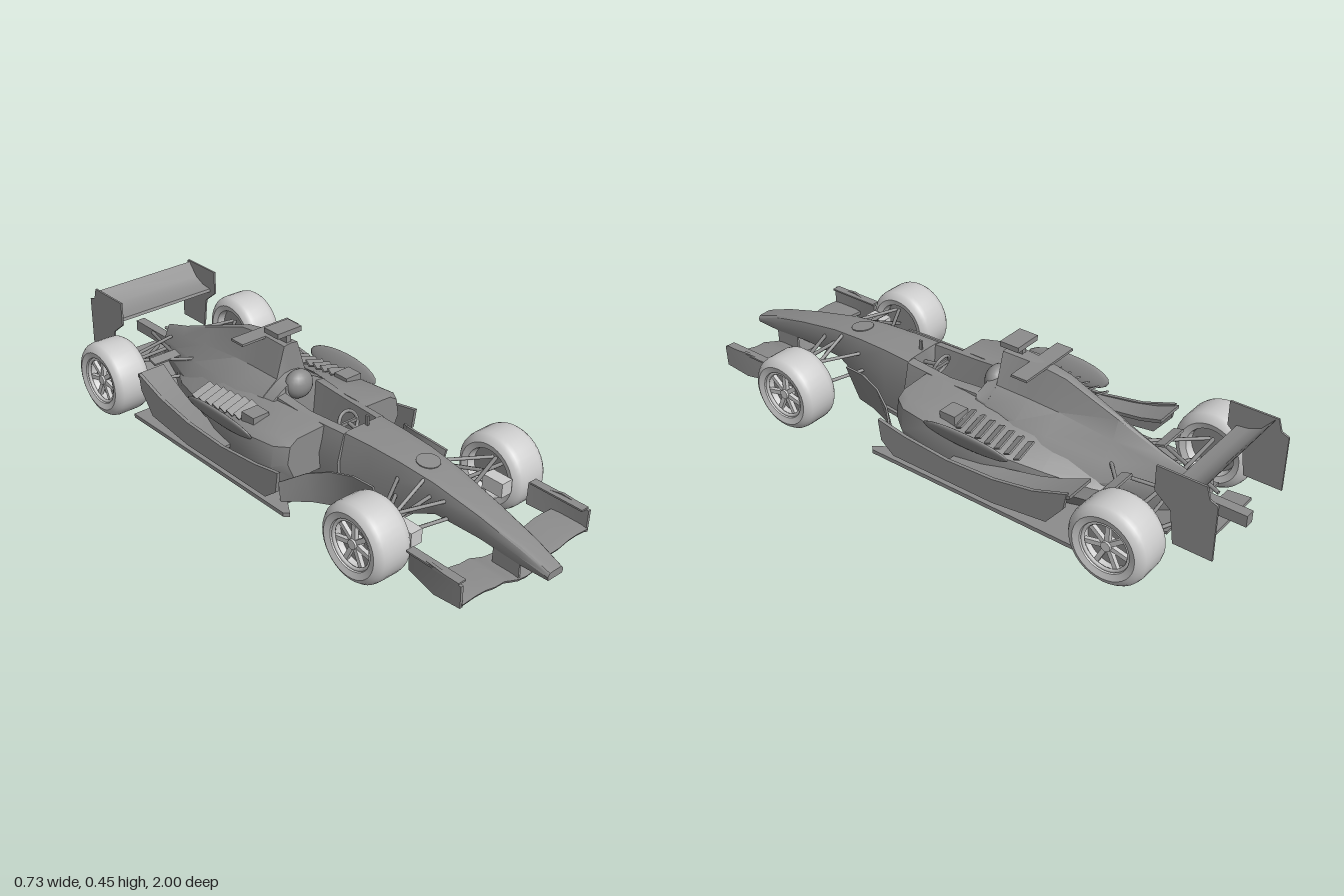
import * as THREE from 'three';
import { toCreasedNormals } from 'three/addons/utils/BufferGeometryUtils.js';

const mat = (name, color) => Object.assign(new THREE.MeshStandardMaterial({ color, side: THREE.DoubleSide }), { name });

export function createModel() {
  const bodyGrey = mat('body grey', 0x8c8c8c);
  const tyreGrey = mat('tyre light grey', 0xcccccc);
  const root = new THREE.Group();
  root.name = 'racingCar';
  const car = new THREE.Group();
  car.name = 'car';
  car.rotation.z = -0.014; // slight roll on the suspension
  root.add(car);

  const add = (name, geo, material = bodyGrey, parent = car) => {
    const m = new THREE.Mesh(geo, material);
    m.name = name;
    parent.add(m);
    return m;
  };
  const both = fn => [1, -1].forEach(s => fn(s, s > 0 ? 'left' : 'right'));

  // Skin closed rings of [x, y, z] points, capping both ends
  const loft = (rings, crease = 0.6) => {
    const n = rings[0].length, v = rings.flat(), tris = [];
    for (let i = 0; i < rings.length - 1; i++) for (let j = 0; j < n; j++) {
      const a = i * n + j, b = i * n + (j + 1) % n;
      tris.push([a, b, a + n], [b, b + n, a + n]);
    }
    const last = (rings.length - 1) * n;
    for (let j = 1; j < n - 1; j++) tris.push([0, j + 1, j], [last, last + j, last + j + 1]);
    const V = v.map(p => new THREE.Vector3(...p));
    const vol = tris.reduce((t, [a, b, c]) => t + V[a].dot(V[b].clone().cross(V[c])), 0);
    const g = new THREE.BufferGeometry();
    g.setAttribute('position', new THREE.Float32BufferAttribute(v.flat(), 3));
    g.setIndex((vol < 0 ? tris.map(t => [t[0], t[2], t[1]]) : tris).flat());
    g.computeVertexNormals();
    return toCreasedNormals(g, crease);
  };
  const box = (w, h, d, x, y, z, rx = 0, rz = 0) =>
    new THREE.BoxGeometry(w, h, d).rotateX(rx).rotateZ(rz).translate(x, y, z);
  const bar = (a, b, r) => new THREE.TubeGeometry(new THREE.LineCurve3(new THREE.Vector3(...a), new THREE.Vector3(...b)), 1, r, 6);
  // Upright plate with a (z, y) outline
  const panel = (pts, x, t) => new THREE.ExtrudeGeometry(new THREE.Shape(pts.map(p => new THREE.Vector2(...p))),
    { depth: t, bevelEnabled: false }).rotateY(-Math.PI / 2).translate(x + t / 2, 0, 0);

  // Nose, cockpit tub and engine cover: z, then half profile from top centre to bottom centre
  const nose = (z, top, w, mid, ym, bw, bot) =>
    [z, [[0, top], [w * 0.5, top], [w * 0.85, top - 0.001], [w, top - 0.006], [mid, ym], [bw, bot], [0, bot]]];
  const tub = (z, floor, iw, top, ow) =>
    [z, [[0, floor], [iw - 0.01, floor], [iw, top], [ow, top - 0.005], [0.11, 0.16], [0.1, 0.04], [0, 0.04]]];
  const cover = (z, top, w, w2, y2, w3, y3, w4, y4, bot) =>
    [z, [[0, top], [w, top - 0.004], [w2, y2], [w3, y3], [w4, y4], [w4 * 0.85, bot], [0, bot]]];
  const hull = [
    nose(1, 0.143, 0.03, 0.033, 0.13, 0.03, 0.118),
    nose(0.9, 0.178, 0.037, 0.041, 0.15, 0.034, 0.118),
    nose(0.75, 0.216, 0.046, 0.053, 0.18, 0.038, 0.13),
    nose(0.58, 0.25, 0.058, 0.068, 0.2, 0.045, 0.13),
    nose(0.45, 0.263, 0.068, 0.08, 0.19, 0.06, 0.07),
    nose(0.33, 0.266, 0.074, 0.088, 0.17, 0.08, 0.042),
    nose(0.221, 0.264, 0.08, 0.1, 0.16, 0.09, 0.04),
    tub(0.22, 0.16, 0.055, 0.262, 0.085),
    tub(0.05, 0.12, 0.068, 0.258, 0.095),
    tub(-0.08, 0.14, 0.066, 0.268, 0.1),
    cover(-0.085, 0.3, 0.03, 0.06, 0.285, 0.11, 0.255, 0.13, 0.2, 0.04),
    cover(-0.129, 0.31, 0.03, 0.062, 0.29, 0.115, 0.253, 0.14, 0.2, 0.04),
    cover(-0.13, 0.408, 0.028, 0.06, 0.295, 0.117, 0.253, 0.14, 0.2, 0.04),
    cover(-0.25, 0.405, 0.022, 0.055, 0.29, 0.125, 0.245, 0.16, 0.19, 0.04),
    cover(-0.36, 0.388, 0.016, 0.048, 0.28, 0.12, 0.23, 0.16, 0.17, 0.04),
    cover(-0.55, 0.315, 0.01, 0.035, 0.25, 0.085, 0.2, 0.12, 0.14, 0.04),
    cover(-0.7, 0.255, 0.006, 0.022, 0.22, 0.05, 0.18, 0.065, 0.13, 0.06),
    cover(-0.81, 0.222, 0.004, 0.012, 0.2, 0.025, 0.17, 0.03, 0.13, 0.09),
  ];
  add('noseAndEngineCover', loft(hull.map(([z, p]) =>
    [...p, ...p.slice(1, -1).reverse().map(([x, y]) => [-x, y])].map(([x, y]) => [x, y, z]))));

  // Flat floor with a narrow front, step plank and rear diffuser
  const floorHalf = [[0.08, 0.44], [0.1, 0.25], [0.17, 0.14], [0.25, 0.145], [0.29, 0.205], [0.305, 0.19], [0.305, -0.61], [0.2, -0.61], [0.18, -0.66]];
  const floorShape = new THREE.Shape([...floorHalf, ...floorHalf.slice().reverse().map(([x, z]) => [-x, z])].map(([x, z]) => new THREE.Vector2(x, z)));
  add('floor', new THREE.ExtrudeGeometry(floorShape, { depth: 0.014, bevelEnabled: false }).rotateX(Math.PI / 2).translate(0, 0.046, 0));
  add('diffuser', loft([[-0.58, 0.04], [-0.7, 0.065], [-0.82, 0.1]].map(([z, y]) =>
    [[-0.15, y, z], [0.15, y, z], [0.15, y + 0.01, z], [-0.15, y + 0.01, z]])));
  add('rearCrashStructure', box(0.035, 0.04, 0.2, 0, 0.15, -0.9));
  add('rearLowerWing', box(0.3, 0.01, 0.08, 0, 0.095, -0.89, 0.1));

  both((s, side) => {
    // Sidepod: z, inner x, outer x, inner top, outer top, bottom
    const pod = [[0.135, 0.09, 0.24, 0.252, 0.235, 0.1], [0.09, 0.09, 0.27, 0.256, 0.23, 0.07], [-0.05, 0.09, 0.275, 0.256, 0.215, 0.045],
      [-0.22, 0.09, 0.255, 0.25, 0.195, 0.045], [-0.4, 0.07, 0.2, 0.235, 0.165, 0.045], [-0.55, 0.05, 0.15, 0.205, 0.14, 0.045], [-0.67, 0.03, 0.08, 0.18, 0.12, 0.05]];
    add(side + 'Sidepod', loft(pod.map(([z, a, b, t, u, y]) =>
      [[a, t, z], [b - 0.04, u + 0.012, z], [b - 0.01, u - 0.008, z], [b, (u + y) / 2, z], [b - 0.03, y, z], [a, y, z]].map(([x, yy, zz]) => [s * x, yy, zz]))));
    // Flip-up in front of the rear wheel, with its outer panel
    add(side + 'FlipUp', loft([[-0.12, 0.135], [-0.3, 0.145], [-0.42, 0.165], [-0.5, 0.185], [-0.58, 0.215]].map(([z, y], i) =>
      [[0.24 - 0.012 * i, y, z], [0.3, y, z], [0.3, y - 0.012, z], [0.24 - 0.012 * i, y - 0.012, z]].map(p => [s * p[0], p[1], p[2]]))));
    add(side + 'SidePanel', panel([[0.16, 0.175], [0.05, 0.155], [-0.12, 0.14], [-0.3, 0.148], [-0.45, 0.175], [-0.57, 0.218],
      [-0.56, 0.16], [-0.5, 0.085], [-0.3, 0.06], [0.1, 0.06], [0.15, 0.1]], s * 0.297, 0.012));
    // Cooling louvres, chimney and side winglet
    for (let i = 0; i < 7; i++) add(side + 'Louvre', box(0.08, 0.006, 0.028, s * 0.2, 0.238 - 0.004 * i, -0.12 - 0.037 * i, 0.5, -s * 0.3));
    add(side + 'Chimney', box(0.065, 0.035, 0.06, s * 0.2, 0.235, -0.07));
    add(side + 'SideWinglet', new THREE.SphereGeometry(1, 20, 10).scale(0.012, 0.045, 0.165).rotateZ(-s * 0.45).translate(s * 0.27, 0.215, -0.17));
    add(side + 'RearDeckWinglet', box(0.11, 0.008, 0.035, s * 0.145, 0.2, -0.64, 0.3));
    // Curved turning vane behind the front wheel: z, lower x, upper x, upper y
    add(side + 'BargeBoard', loft([[0.43, 0.1, 0.155, 0.2], [0.35, 0.115, 0.16, 0.2], [0.27, 0.145, 0.18, 0.185], [0.2, 0.19, 0.215, 0.16], [0.135, 0.262, 0.27, 0.12]].map(([z, a, b, y]) =>
      [[a, 0.045, z], [a + 0.008, 0.045, z], [b + 0.008, y, z], [b, y, z]].map(p => [s * p[0], p[1], p[2]]))));

    // Front wing end plate, footplate, and pylon
    add(side + 'FrontEndPlate', loft([[0.9, 0.268, 0.09, 0.165], [0.8, 0.268, 0.08, 0.175], [0.685, 0.25, 0.09, 0.165]].map(([z, x, a, b]) =>
      [[x, a, z], [x + 0.01, a, z], [x + 0.012, b, z], [x + 0.002, b, z]].map(p => [s * p[0], p[1], p[2]]))));
    add(side + 'EndPlateFin', box(0.03, 0.006, 0.2, s * 0.265, 0.168, 0.79));
    add(side + 'WingPylon', box(0.008, 0.07, 0.1, s * 0.03, 0.1, 0.85));
    add(side + 'BrakeDuct', box(0.045, 0.05, 0.08, s * 0.195, 0.15, 0.61), tyreGrey);

    // Rear wing end plate
    add(side + 'RearEndPlate', panel([[-0.8, 0.37], [-0.96, 0.37], [-0.972, 0.33], [-0.998, 0.32], [-0.998, 0.13],
      [-0.87, 0.13], [-0.855, 0.24], [-0.8, 0.285]], s * 0.205, 0.007));

    // Suspension arms
    const arms = [
      ['Front', [0.06, 0.205, 0.44], [0.24, 0.2, 0.55]], ['Front', [0.05, 0.205, 0.63], [0.24, 0.2, 0.56]],
      ['Front', [0.055, 0.24, 0.54], [0.24, 0.145, 0.55]], ['Front', [0.07, 0.14, 0.44], [0.24, 0.11, 0.54]],
      ['Front', [0.045, 0.14, 0.63], [0.24, 0.11, 0.55]], ['Front', [0.055, 0.2, 0.575], [0.24, 0.19, 0.585]],
      ['Rear', [0.06, 0.2, -0.56], [0.24, 0.185, -0.73]], ['Rear', [0.03, 0.2, -0.76], [0.24, 0.185, -0.74]],
      ['Rear', [0.06, 0.12, -0.6], [0.24, 0.105, -0.72]], ['Rear', [0.02, 0.12, -0.86], [0.24, 0.105, -0.75]],
      ['Rear', [0.04, 0.16, -0.76], [0.24, 0.145, -0.775]], ['Rear', [0.03, 0.17, -0.88], [0.1, 0.2, -0.66]],
    ];
    for (const [end, a, b] of arms) add(side + end + 'SuspensionArm', bar([s * a[0], a[1], a[2]], [s * b[0], b[1], b[2]], 0.0065));

    // Wheels: tyre, recessed disc, spokes and hub
    for (const [end, z, r] of [['Front', 0.542, 0.131], ['Rear', -0.738, 0.134]]) {
      const wheel = new THREE.Group();
      wheel.name = side + end + 'Wheel';
      wheel.position.set(s * 0.292, 0.141, z);
      wheel.rotation.y = s > 0 ? 0 : Math.PI;
      car.add(wheel);
      const prof = [[0.08, -0.05], [0.084, -0.064], [0.105, -0.07], [r - 0.012, -0.062], [r - 0.003, -0.05], [r, -0.035], [r, 0.035],
        [r - 0.003, 0.05], [r - 0.012, 0.062], [0.105, 0.07], [0.084, 0.064], [0.08, 0.05], [0.08, -0.05]];
      add('tyre', toCreasedNormals(new THREE.LatheGeometry(prof.map(p => new THREE.Vector2(...p)), 36), 0.7).rotateZ(-Math.PI / 2), tyreGrey, wheel);
      add('rimDisc', new THREE.CylinderGeometry(0.081, 0.081, 0.06, 28).rotateZ(Math.PI / 2).translate(-0.005, 0, 0), bodyGrey, wheel);
      add('hub', new THREE.CylinderGeometry(0.016, 0.02, 0.035, 12).rotateZ(-Math.PI / 2).translate(0.04, 0, 0), tyreGrey, wheel);
      add('rimRing', new THREE.TorusGeometry(0.078, 0.006, 6, 28).rotateY(Math.PI / 2).translate(0.055, 0, 0), tyreGrey, wheel);
      for (let i = 0; i < 7; i++)
        add('spoke', new THREE.BoxGeometry(0.014, 0.066, 0.015).translate(0.044, 0.045, 0).rotateX(i * Math.PI * 2 / 7), tyreGrey, wheel);
    }
  });

  // Front wing: wavy span, low in the middle
  const span = [[0, 0.062], [0.035, 0.067], [0.07, 0.08], [0.1, 0.092], [0.14, 0.093], [0.18, 0.102], [0.22, 0.104], [0.272, 0.1]];
  add('frontWing', loft([...span.slice(1).reverse().map(([x, y]) => [-x, y]), ...span].map(([x, y]) =>
    [[x, y - 0.006, 0.9], [x, y - 0.004, 0.77], [x, y + 0.008, 0.77], [x, y + 0.008, 0.88], [x, y + 0.004, 0.905]])));

  // Rear wing: curved blade rising to the back
  const blade = [[0.295, -0.83], [0.3, -0.87], [0.318, -0.91], [0.365, -0.95]];
  add('rearWing', loft([-0.204, 0.204].map(x =>
    [...blade.map(([y, z]) => [x, y, z]), ...blade.slice().reverse().map(([y, z]) => [x, y - 0.01, z + 0.004])])));

  // Roll hoop camera, top winglet and headrest
  add('cameraStalk', box(0.018, 0.05, 0.05, 0, 0.42, -0.165));
  add('camera', box(0.1, 0.018, 0.07, 0, 0.443, -0.17));
  add('topWinglet', box(0.24, 0.008, 0.06, 0, 0.398, -0.26));
  add('headrest', new THREE.SphereGeometry(0.05, 20, 12).scale(1.05, 1, 0.8).translate(0, 0.275, -0.09));

  // Steering wheel, antenna and nose hatch
  add('steeringWheel', new THREE.TorusGeometry(0.038, 0.006, 8, 24).rotateX(-0.35).translate(0, 0.235, 0.15));
  add('steeringWheelSpoke', box(0.07, 0.012, 0.008, 0, 0.235, 0.15));
  add('steeringColumn', bar([0, 0.235, 0.15], [0, 0.22, 0.23], 0.007));
  add('antenna', box(0.006, 0.04, 0.012, 0, 0.278, 0.235));
  add('noseHatch', new THREE.CylinderGeometry(0.038, 0.038, 0.004, 24).rotateX(0.1).translate(0, 0.259, 0.5));

  return root;
}
